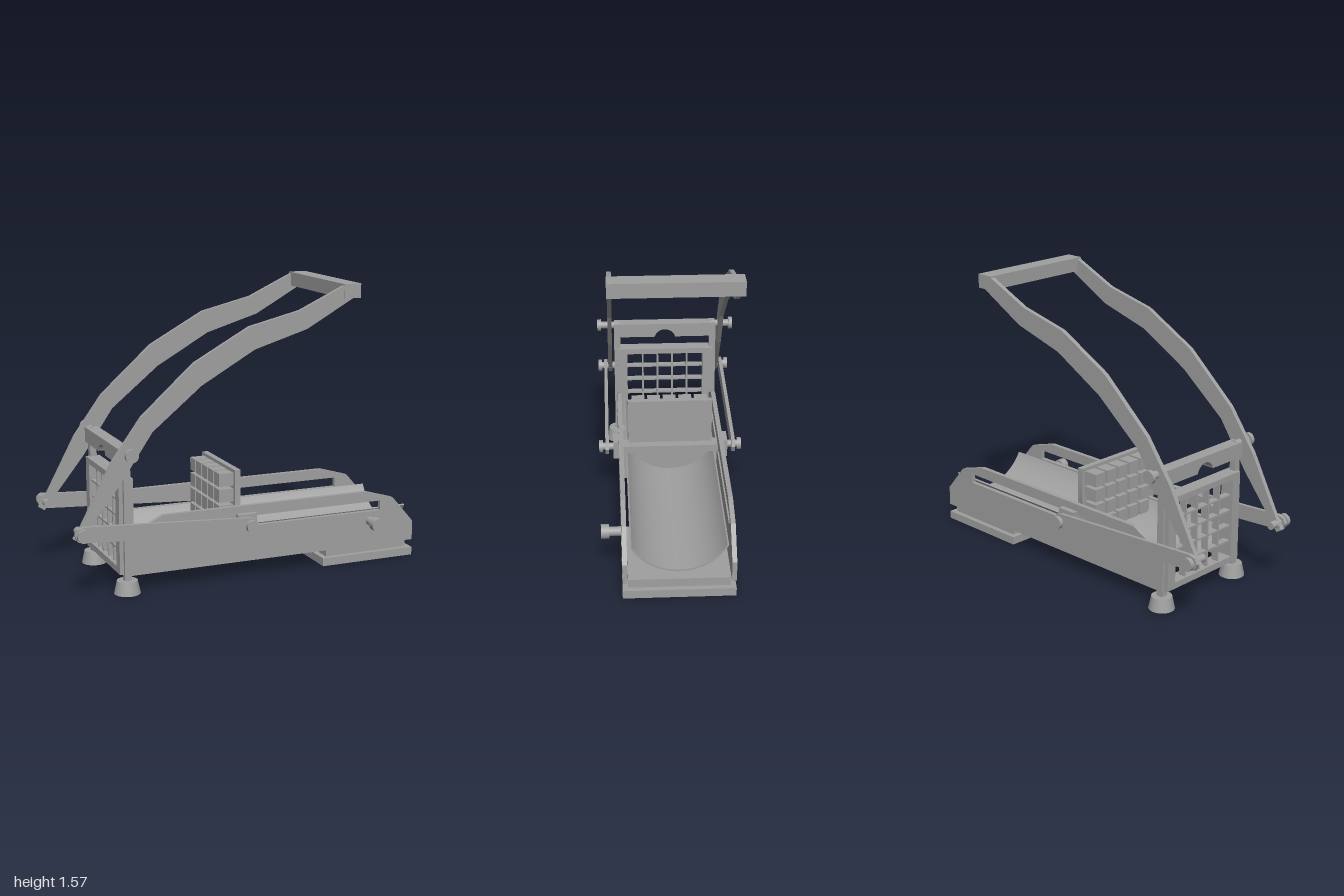
import * as THREE from 'three';
import { toCreasedNormals } from 'three/addons/utils/BufferGeometryUtils.js';

const steel = new THREE.MeshStandardMaterial({ color: 0xa0a0a0 });
steel.name = 'grey steel';

export function createModel() {
  const model = new THREE.Group();
  model.name = 'potatoCutter';

  function add(name, geometry) {
    const mesh = new THREE.Mesh(geometry, steel);
    mesh.name = name;
    model.add(mesh);
    return mesh;
  }
  // Box given by its limits on each axis
  function box(name, x0, x1, y0, y1, z0, z1) {
    const g = new THREE.BoxGeometry(x1 - x0, y1 - y0, z1 - z0);
    g.translate((x0 + x1) / 2, (y0 + y1) / 2, (z0 + z1) / 2);
    return add(name, g);
  }
  const outline = pts => new THREE.Shape(pts.map(p => new THREE.Vector2(...p)));
  const rect = (x0, x1, y0, y1) => outline([[x0, y0], [x1, y0], [x1, y1], [x0, y1]]);
  // Side profile (x, y) extruded between two z values
  function sideways(name, shape, z0, z1) {
    const g = new THREE.ExtrudeGeometry(shape, { depth: z1 - z0, bevelEnabled: false, curveSegments: 10 });
    g.translate(0, 0, z0);
    return add(name, g);
  }
  // Symmetric cross-section (z, y) extruded between two x values
  function lengthways(name, shape, x0, x1) {
    let g = new THREE.ExtrudeGeometry(shape, { depth: x1 - x0, bevelEnabled: false, curveSegments: 24 });
    g.rotateY(Math.PI / 2);
    g.translate(x0, 0, 0);
    g = toCreasedNormals(g, 0.5);
    return add(name, g);
  }
  // Round part along z
  function round(name, r, x, y, z0, z1) {
    let g = new THREE.CylinderGeometry(r, r, Math.abs(z1 - z0), 24);
    g.rotateX(Math.PI / 2);
    g.translate(x, y, (z0 + z1) / 2);
    return add(name, g);
  }

  // Parts found on both sides
  for (const s of [1, -1]) {
    const span = (a, b) => (s > 0 ? [a, b] : [-b, -a]);

    // Slotted side rail
    const rail = outline([[-0.69, 0.09], [1, 0.09], [1, 0.2], [0.87, 0.35], [0.7, 0.4], [-0.5, 0.4], [-0.69, 0.3]]);
    rail.holes.push(rect(-0.49, 0.79, 0.285, 0.34));
    sideways('sideRail', rail, ...span(0.265, 0.29));

    // Upright post and rubber foot
    box('post', -0.717, -0.68, 0.06, 0.74, ...span(0.265, 0.302));
    const foot = new THREE.CylinderGeometry(0.055, 0.07, 0.07, 28);
    foot.translate(-0.7, 0.035, s * 0.285);
    add('foot', foot);

    // Bent lever arm
    sideways('leverArm', outline([
      [-0.97, 0.32], [-0.74, 0.61], [-0.57, 0.86], [-0.3, 1.08], [0, 1.25], [0.3, 1.34], [0.57, 1.49],
      [0.61, 1.5], [0.61, 1.565], [0.52, 1.56], [0.26, 1.44], [-0.03, 1.37], [-0.34, 1.2], [-0.63, 0.94],
      [-0.79, 0.72], [-0.96, 0.4], [-1, 0.34],
    ]), ...span(0.315, 0.34));

    // Connecting link from lever to slider
    sideways('link', outline([
      [-0.985, 0.33], [-0.955, 0.322], [-0.03, 0.268], [0, 0.275], [0.015, 0.31], [0, 0.343], [-0.03, 0.352],
      [-0.95, 0.405], [-0.985, 0.395], [-1, 0.365],
    ]), ...span(0.345, 0.365));
    box('sliderBlock', -0.085, 0.025, 0.26, 0.36, ...span(0.27, 0.32));

    // Pivot pins with round heads
    for (const [x, y] of [[-0.96, 0.365], [-0.7, 0.757], [-0.03, 0.31]]) {
      round('pivotPin', 0.021, x, y, ...span(0.272, 0.385));
      round('pivotHead', 0.035, x, y, ...span(0.378, 0.4));
    }
  }

  // Handle and upper crossbar with finger notch
  box('handle', 0.515, 0.615, 1.49, 1.567, -0.342, 0.342);
  const bar = new THREE.Shape();
  bar.moveTo(-0.3, 0.69);
  bar.lineTo(-0.062, 0.69);
  bar.absarc(0, 0.675, 0.062, Math.PI - 0.24, 0.24, true);
  bar.lineTo(0.3, 0.69);
  bar.lineTo(0.3, 0.772);
  bar.lineTo(-0.3, 0.772);
  bar.closePath();
  lengthways('crossbar', bar, -0.735, -0.665);

  // Cutting grid
  const frame = rect(-0.283, 0.283, 0.1, 0.612);
  frame.holes.push(rect(-0.225, 0.225, 0.135, 0.58));
  lengthways('gridFrame', frame, -0.738, -0.66);
  for (let i = 0; i < 4; i++) {
    const z = (i - 1.5) * 0.088, y = 0.487 - i * 0.088;
    box('verticalBlade', -0.725, -0.685, 0.13, 0.585, z - 0.005, z + 0.005);
    box('horizontalBlade', -0.725, -0.685, y - 0.005, y + 0.005, -0.23, 0.23);
  }

  // Curved trough
  const cy = 0.418, R = 0.283, a = 0.488;
  const trough = new THREE.Shape();
  trough.absarc(0, cy, R, Math.PI + a, 2 * Math.PI - a, false);
  trough.absarc(0, cy, R - 0.01, 2 * Math.PI - a, Math.PI + a, true);
  trough.closePath();
  lengthways('trough', trough, -0.65, 0.968);

  // Support plate below the trough
  const support = new THREE.Shape();
  support.moveTo(-0.265, 0.09);
  support.lineTo(0.265, 0.09);
  support.lineTo(0.265, 0.285);
  support.absarc(0, cy, R, -a, -Math.PI + a, true);
  support.lineTo(-0.265, 0.285);
  support.closePath();
  lengthways('troughSupport', support, -0.06, -0.045);

  // Pusher plate, its crossbar and its blocks
  const plate = new THREE.Shape();
  plate.moveTo(-0.235, 0.585);
  plate.lineTo(-0.235, 0.3);
  plate.absarc(0, cy, 0.264, Math.PI + 0.47, 2 * Math.PI - 0.47, false);
  plate.lineTo(0.235, 0.585);
  plate.closePath();
  lengthways('pusherPlate', plate, -0.068, -0.035);
  box('pusherCrossbar', -0.07, 0.015, 0.288, 0.328, -0.275, 0.275);
  for (let row = 0; row < 5; row++) {
    for (let col = -2; col <= 2; col++) {
      if (row === 4 && col !== 0) continue;
      const y = 0.531 - row * 0.088, z = col * 0.088;
      box('pusherBlock', -0.15, -0.06, y - 0.036, y + 0.036, z - 0.036, z + 0.036);
    }
  }

  // Hollow base pad under the front end
  const pad = rect(0.44, 1, -0.29, 0.29);
  pad.holes.push(rect(0.49, 0.95, -0.24, 0.24));
  const padGeometry = new THREE.ExtrudeGeometry(pad, { depth: 0.045, bevelEnabled: false });
  padGeometry.rotateX(-Math.PI / 2);
  add('basePad', padGeometry);
  box('basePlate', 0.47, 0.97, 0.04, 0.092, -0.262, 0.262);

  // Locking knob on one side
  round('knobStem', 0.025, 0.727, 0.23, 0.28, 0.36);
  round('knobHead', 0.038, 0.727, 0.23, 0.352, 0.395);

  return model;
}
